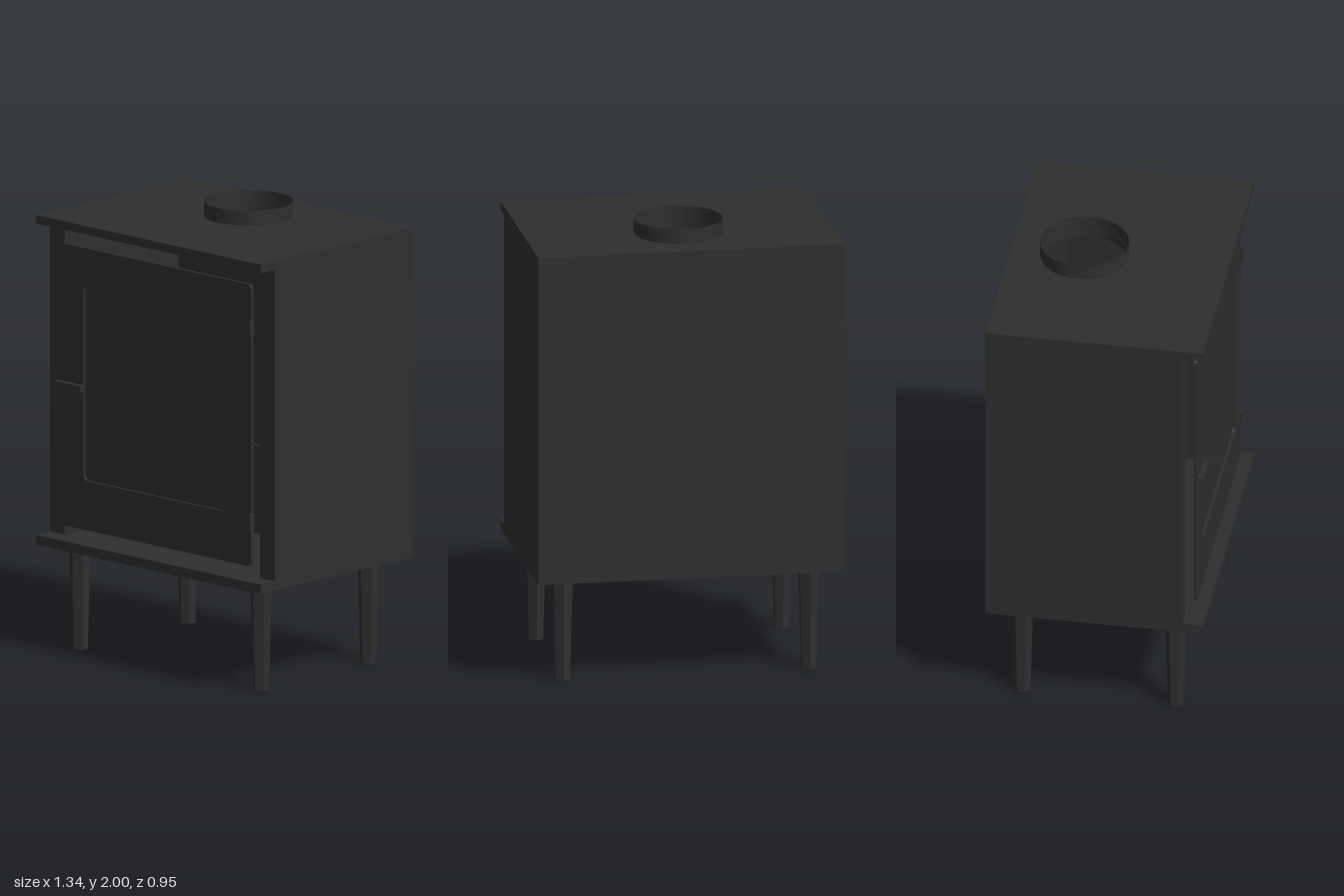
import * as THREE from 'three';

// Rounded rectangle between two corners, usable as a shape or a hole
function roundedRect(path, x0, y0, x1, y1, r) {
  path.moveTo(x0 + r, y0);
  path.lineTo(x1 - r, y0);
  path.absarc(x1 - r, y0 + r, r, -Math.PI / 2, 0, false);
  path.lineTo(x1, y1 - r);
  path.absarc(x1 - r, y1 - r, r, 0, Math.PI / 2, false);
  path.lineTo(x0 + r, y1);
  path.absarc(x0 + r, y1 - r, r, Math.PI / 2, Math.PI, false);
  path.lineTo(x0, y0 + r);
  path.absarc(x0 + r, y0 + r, r, Math.PI, Math.PI * 1.5, false);
  return path;
}

export function createModel() {
  const stove = new THREE.Group();
  stove.name = 'woodStove';
  const iron = new THREE.MeshStandardMaterial({ color: 0x2e2e2e });
  iron.name = 'castIron';
  const sheet = new THREE.MeshStandardMaterial({ color: 0x2e2e2e, side: THREE.DoubleSide });
  sheet.name = 'castIronSheet';

  const add = (name, geometry, material = iron) => {
    const mesh = new THREE.Mesh(geometry, material);
    mesh.name = name;
    stove.add(mesh);
    return mesh;
  };
  // Box given by its limits on each axis
  const box = (name, x0, x1, y0, y1, z0, z1) =>
    add(name, new THREE.BoxGeometry(x1 - x0, y1 - y0, z1 - z0))
      .position.set((x0 + x1) / 2, (y0 + y1) / 2, (z0 + z1) / 2);

  const W = 0.672, BACK = -0.477, FRONT = 0.478;
  const BASE = 0.465, FLOOR = 0.508, CEIL = 1.897, TOP = 1.935;
  const FLUE_Z = -0.155, FLUE_R = 0.193;

  // Base plate and hollow firebox, open at the front
  box('basePlate', -W, W, BASE, FLOOR, BACK, FRONT);
  box('leftWall', 0.585, W, FLOOR, CEIL, BACK, 0.388);
  box('rightWall', -W, -0.585, FLOOR, CEIL, BACK, 0.388);
  box('backWall', -0.585, 0.585, FLOOR, CEIL, BACK, -0.33);
  box('rearBaffle', -0.585, 0.585, FLOOR, 0.9, -0.225, -0.2);

  // Top plate with the flue opening (shape y becomes -z)
  const plate = new THREE.Shape([
    new THREE.Vector2(-W, -FRONT), new THREE.Vector2(W, -FRONT),
    new THREE.Vector2(W, -BACK), new THREE.Vector2(-W, -BACK),
  ]);
  plate.holes.push(new THREE.Path().absarc(0, -FLUE_Z, FLUE_R - 0.003, 0, Math.PI * 2, true));
  const topPlate = add('topPlate', new THREE.ExtrudeGeometry(plate,
    { depth: TOP - CEIL, bevelEnabled: false, curveSegments: 48 }));
  topPlate.rotation.x = -Math.PI / 2;
  topPlate.position.y = CEIL;

  // Thin flue collar
  add('flueCollar', new THREE.CylinderGeometry(FLUE_R, FLUE_R, 2 - TOP, 64, 1, true), sheet)
    .position.set(0, (2 + TOP) / 2, FLUE_Z);

  // Door frame standing clear of the body, with the window set behind its face
  const frame = roundedRect(new THREE.Shape(), -0.575, 0.565, 0.575, 1.822, 0.02);
  frame.holes.push(roundedRect(new THREE.Path(), -0.428, 0.785, 0.428, 1.662, 0.03));
  add('doorFrame', new THREE.ExtrudeGeometry(frame,
    { depth: 0.015, bevelEnabled: false, curveSegments: 6 })).position.z = 0.421;
  const pane = roundedRect(new THREE.Shape(), -0.429, 0.784, 0.429, 1.663, 0.03);
  add('windowPane', new THREE.ExtrudeGeometry(pane,
    { depth: 0.008, bevelEnabled: false, curveSegments: 6 })).position.z = 0.415;

  // Hinges and handle
  for (const y of [0.765, 1.625]) box('hinge', 0.55, 0.578, y - 0.033, y + 0.033, 0.416, 0.446);
  box('handleBar', -0.575, -0.42, 1.181, 1.21, 0.44, 0.465);
  box('handleStem', -0.565, -0.54, 1.185, 1.206, 0.43, 0.445);

  // Tapered six-sided legs
  const legGeometry = new THREE.CylinderGeometry(0.048, 0.036, BASE, 6).toNonIndexed();
  legGeometry.computeVertexNormals();
  for (const x of [-0.542, 0.542]) {
    for (const z of [-0.338, 0.338]) add('leg', legGeometry).position.set(x, BASE / 2, z);
  }

  return stove;
}
